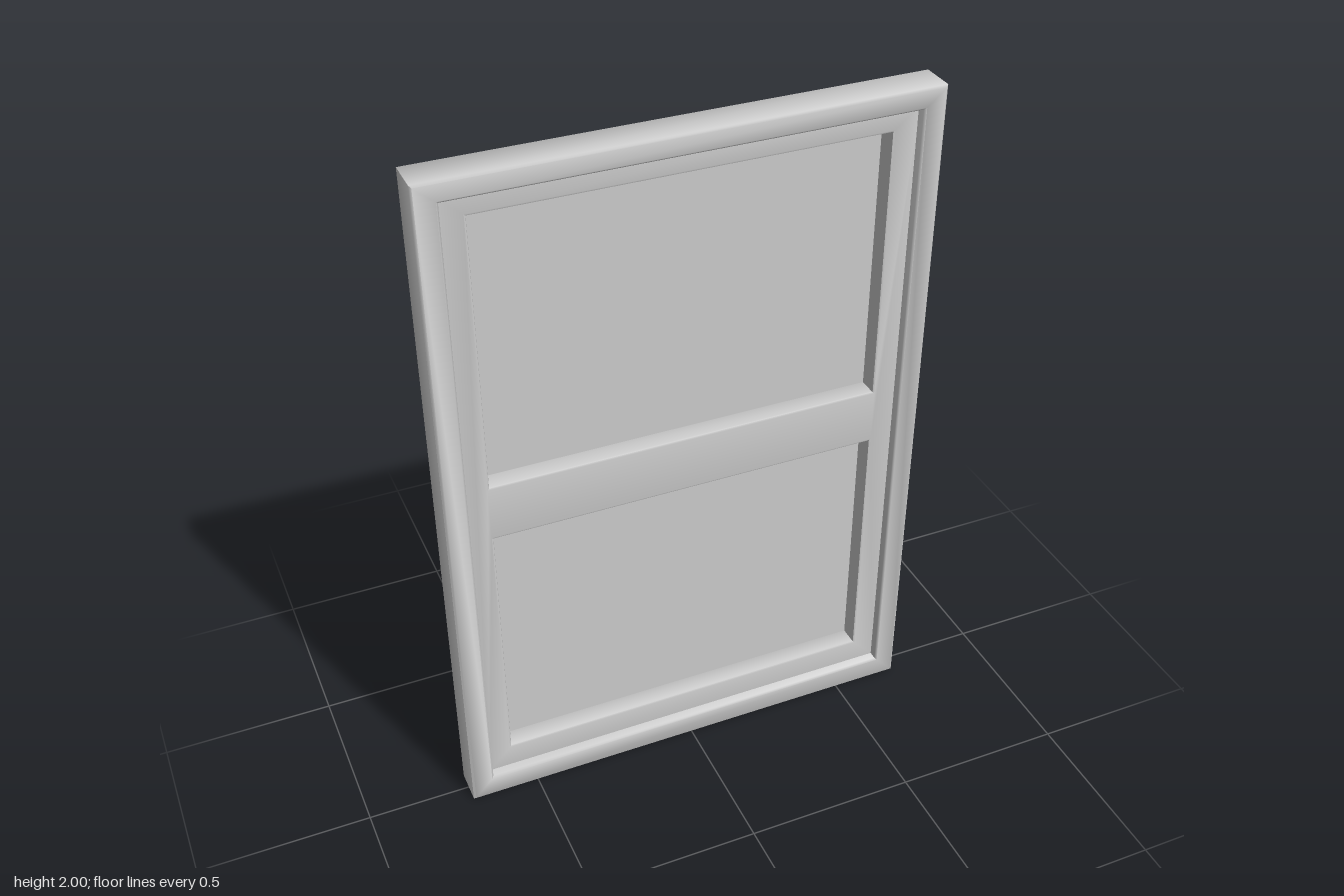
import * as THREE from 'three';
import { toCreasedNormals } from 'three/addons/utils/BufferGeometryUtils.js';

const BACK = -0.056, FRONT = 0.056; // overall depth
const SASH_Z = 0.026, PANE_Z = -0.03; // recessed levels
const B = 0.006; // edge softening

// Skin a series of rectangles [left/right, bottom, top, z], capping the first one.
function loftRectangles(loops) {
  const pos = [], idx = [0, 3, 2, 0, 2, 1];
  for (const [x, y0, y1, z] of loops) pos.push(-x, y0, z, x, y0, z, x, y1, z, -x, y1, z);
  for (let k = 0; k < loops.length - 1; k++) {
    for (let i = 0; i < 4; i++) {
      const j = (i + 1) % 4, a = k * 4, b = a + 4;
      idx.push(a + i, a + j, b + j, a + i, b + j, b + i);
    }
  }
  const geo = new THREE.BufferGeometry();
  geo.setAttribute('position', new THREE.Float32BufferAttribute(pos, 3));
  geo.setIndex(idx);
  return toCreasedNormals(geo, 0.9);
}

function rectPath(path, x, y0, y1) {
  path.moveTo(-x, y0);
  path.lineTo(x, y0);
  path.lineTo(x, y1);
  path.lineTo(-x, y1);
  path.closePath();
  return path;
}

export function createModel() {
  const group = new THREE.Group();
  const material = new THREE.MeshStandardMaterial({ color: 0xcccccc });
  const add = (name, geo) => {
    const mesh = new THREE.Mesh(geo, material);
    mesh.name = name;
    group.add(mesh);
    return mesh;
  };

  // Outer frame with closed back: back, sides, front face, then the inner step
  const outer = (d, z) => [0.7 - d, d, 2 - d, z];
  const inner = (d, z) => [0.635 + d, 0.07 - d, 1.943 + d, z];
  add('outerFrame', loftRectangles([
    outer(0.05, BACK), outer(B, BACK), outer(0, BACK + B),
    outer(0, FRONT - B), outer(B, FRONT),
    inner(B, FRONT), inner(0, FRONT - B), inner(0, PANE_Z - 0.01),
  ]));

  // Sash with two openings and the meeting rail between them
  const openings = { lowerPane: [0.145, 0.92], upperPane: [1.09, 1.882] };
  const shape = rectPath(new THREE.Shape(), 0.645, 0.06, 1.953);
  for (const [y0, y1] of Object.values(openings)) {
    shape.holes.push(rectPath(new THREE.Path(), 0.565, y0, y1));
  }
  const start = PANE_Z - 0.01;
  const sash = new THREE.ExtrudeGeometry(shape, {
    depth: SASH_Z - start - 2 * B, bevelEnabled: true,
    bevelThickness: B, bevelSize: B, bevelOffset: -B, bevelSegments: 2,
  });
  sash.translate(0, 0, start + B);
  add('sash', toCreasedNormals(sash, 0.5));

  // Flat panes set deep in the openings
  for (const [name, [y0, y1]] of Object.entries(openings)) {
    const pane = add(name, new THREE.BoxGeometry(1.15, y1 - y0 + 0.02, 0.02));
    pane.position.set(0, (y0 + y1) / 2, PANE_Z - 0.01);
  }
  return group;
}
